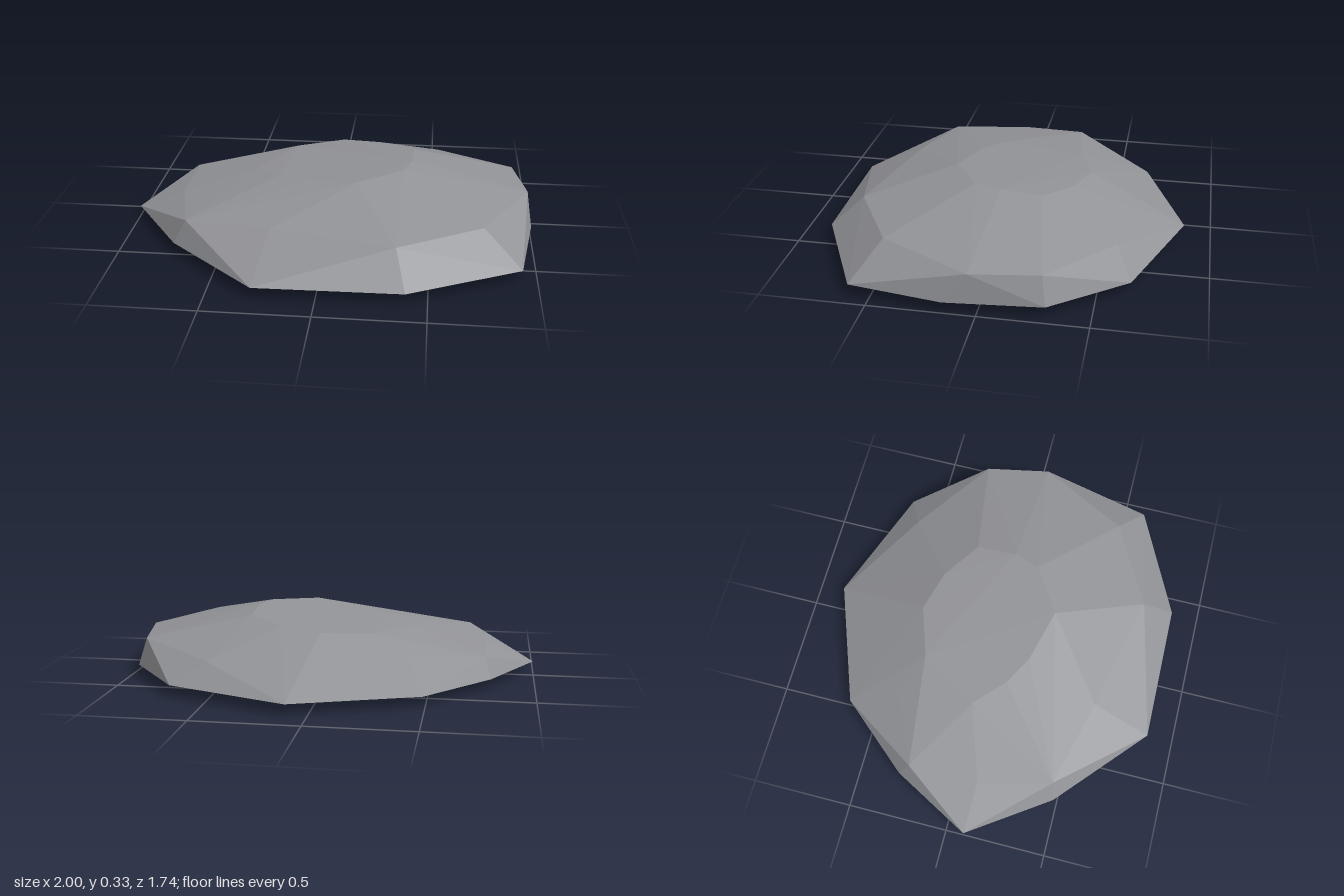
import * as THREE from 'three';
import { ConvexGeometry } from 'three/addons/geometries/ConvexGeometry.js';

export function createModel() {
  const group = new THREE.Group();
  group.name = 'flatStone';
  const stoneGrey = new THREE.MeshStandardMaterial({ color: 0x929397, flatShading: true });
  stoneGrey.name = 'stoneGrey';

  // widest outline, just above the ground: [x, z]
  const rim = [
    [0.10, -0.868], [0.69, -0.65], [0.96, -0.30], [1.0, 0.15], [0.93, 0.60], [0.40, 0.86],
    [-0.29, 0.868], [-0.73, 0.48], [-1.0, 0.09], [-0.79, -0.30], [-0.49, -0.65],
  ];
  // shoulder where the sides turn into the sloping top: [x, y, z]
  const shoulder = [
    [0.10, 0.145, -0.65], [0.53, 0.155, -0.57], [0.92, 0.19, -0.28], [0.98, 0.198, 0.04],
    [0.75, 0.205, 0.48], [0.35, 0.197, 0.70], [-0.24, 0.2, 0.57], [-0.67, 0.165, 0.46],
    [-0.76, 0.15, 0.10], [-0.76, 0.145, -0.25], [-0.40, 0.172, -0.41],
  ];
  // tilted crown
  const crown = [
    [0.02, 0.268, -0.39], [0.22, 0.285, -0.33], [0.40, 0.307, -0.20], [0.40, 0.325, 0.0],
    [0.36, 0.326, 0.13], [0.14, 0.315, 0.27], [-0.12, 0.287, 0.20], [-0.26, 0.27, 0.12],
    [-0.40, 0.245, -0.02], [-0.22, 0.256, -0.31],
  ];

  const points = [...shoulder, ...crown].map((p) => new THREE.Vector3(...p));
  for (const [x, z] of rim) {
    points.push(new THREE.Vector3(x, 0.052 + 0.003 * x, z));
    // underside: the rim drawn inwards, tipped slightly
    const bx = x * 0.795 + 0.035;
    points.push(new THREE.Vector3(bx, 0.0052 - 0.0063 * bx, z * 0.79 + 0.045));
  }

  const stone = new THREE.Mesh(new ConvexGeometry(points), stoneGrey);
  stone.name = 'stone';
  group.add(stone);
  return group;
}
